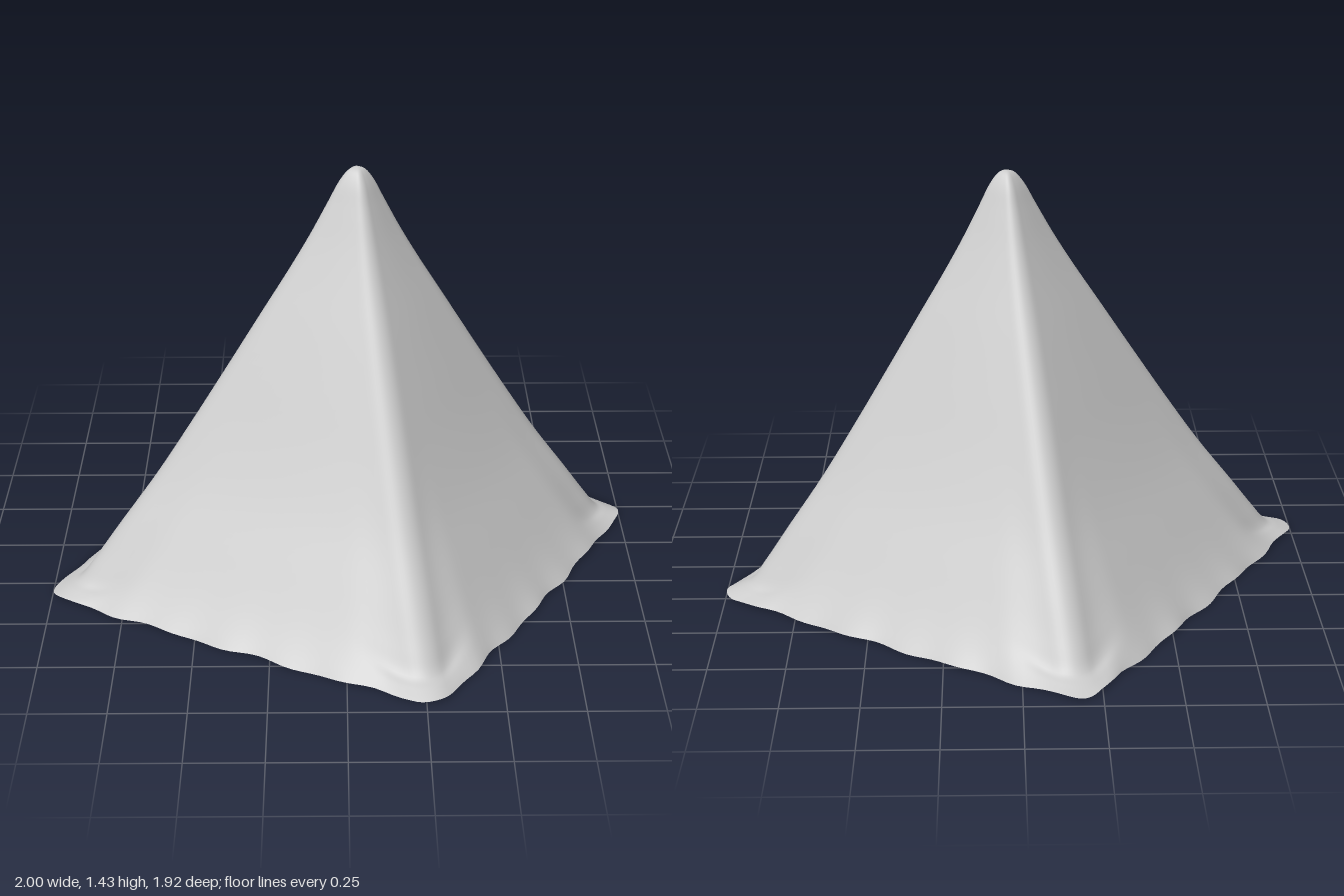
import * as THREE from 'three';

const V = (x, z) => new THREE.Vector2(x, z);
const APEX = V(0.04, 0);
// Hem corners, counter-clockwise from above
const CORNERS = [V(1.03, -0.23), V(-0.195, -0.99), V(-1.03, 0.325), V(0.285, 0.985)];
const SIDE_STEPS = 40, CORNER_STEPS = 10, ROWS = 70;

// Drape profile: spread from the apex (0..1), height along a corner, height along a face
const PROFILE = new THREE.CatmullRomCurve3([
  [0, 1.442, 1.442], [0.028, 1.434, 1.434], [0.06, 1.4, 1.4], [0.102, 1.325, 1.325],
  [0.162, 1.215, 1.215], [0.23, 1.1, 1.1], [0.32, 0.955, 0.955], [0.43, 0.775, 0.775],
  [0.55, 0.58, 0.58], [0.665, 0.4, 0.41], [0.785, 0.23, 0.255], [0.865, 0.115, 0.155],
  [0.915, 0.05, 0.097], [0.955, 0.032, 0.055], [1, 0.015, 0.012],
].map(p => new THREE.Vector3(...p)), false, 'centripetal');

// One closed square section with rounded corners, spread s from the apex
function section(s) {
  const pts = [];
  const c = CORNERS.map(p => p.clone().sub(APEX).multiplyScalar(s).add(APEX));
  const r = 0.11 * s / (s + 0.2);
  const toward = (a, b) => b.clone().sub(a).setLength(r).add(a);
  for (let k = 0; k < 4; k++) {
    const here = c[k], next = c[(k + 1) % 4], prev = c[(k + 3) % 4];
    const bend = new THREE.QuadraticBezierCurve(toward(here, prev), here, toward(here, next));
    for (let i = 0; i < CORNER_STEPS; i++) pts.push({ p: bend.getPoint(i / CORNER_STEPS), mid: 0 });
    const from = toward(here, next), to = toward(next, here);
    const out = V(from.y - to.y, to.x - from.x).normalize();
    if (out.dot(from.clone().sub(APEX)) < 0) out.negate();
    for (let i = 0; i < SIDE_STEPS; i++) {
      const t = i / SIDE_STEPS, mid = Math.sin(Math.PI * t);
      // faces belly out a little, the hem is unevenly wavy
      const ruffle = 0.005 * Math.sin(t * Math.PI * 12 + k) + 0.003 * Math.sin(t * Math.PI * 7 + 2 * k);
      const wave = ruffle * Math.pow(s, 22) * Math.min(1, 3 * mid);
      pts.push({ p: from.clone().lerp(to, t).addScaledVector(out, 0.012 * mid * s + wave), mid });
    }
  }
  return pts;
}

function clothGeometry() {
  const n = 4 * (SIDE_STEPS + CORNER_STEPS);
  const pos = [APEX.x, 1.442, APEX.y], index = [];
  const id = (row, j) => (row === 0 ? 0 : 1 + (row - 1) * n + (j % n));
  for (let row = 1; row <= ROWS; row++) {
    const { x: s, y: cornerY, z: faceY } = PROFILE.getPoint(row / ROWS);
    section(s).forEach(({ p, mid }, j) => {
      const ripple = 0.004 * Math.pow(s, 20) * Math.sin((j / n) * Math.PI * 34);
      // the faces sweep softly to the hem, the corners flare more sharply
      const y = THREE.MathUtils.lerp(cornerY, faceY, THREE.MathUtils.smoothstep(mid, 0, 0.5));
      pos.push(p.x, y + ripple, p.y);
    });
  }
  for (let row = 0; row < ROWS; row++) {
    for (let j = 0; j < n; j++) {
      const a = id(row, j), b = id(row, j + 1), c = id(row + 1, j), d = id(row + 1, j + 1);
      if (row > 0) index.push(a, c, b);
      index.push(b, c, d);
    }
  }
  const geo = new THREE.BufferGeometry();
  geo.setAttribute('position', new THREE.Float32BufferAttribute(pos, 3));
  geo.setIndex(index);
  geo.computeVertexNormals();
  return geo;
}

export function createModel() {
  const group = new THREE.Group();
  group.name = 'tent';
  // Thin cloth shell, open underneath
  const cloth = new THREE.Mesh(clothGeometry(),
    new THREE.MeshStandardMaterial({ color: 0xcccccc, side: THREE.DoubleSide }));
  cloth.name = 'drapedCloth';
  group.add(cloth);
  return group;
}
